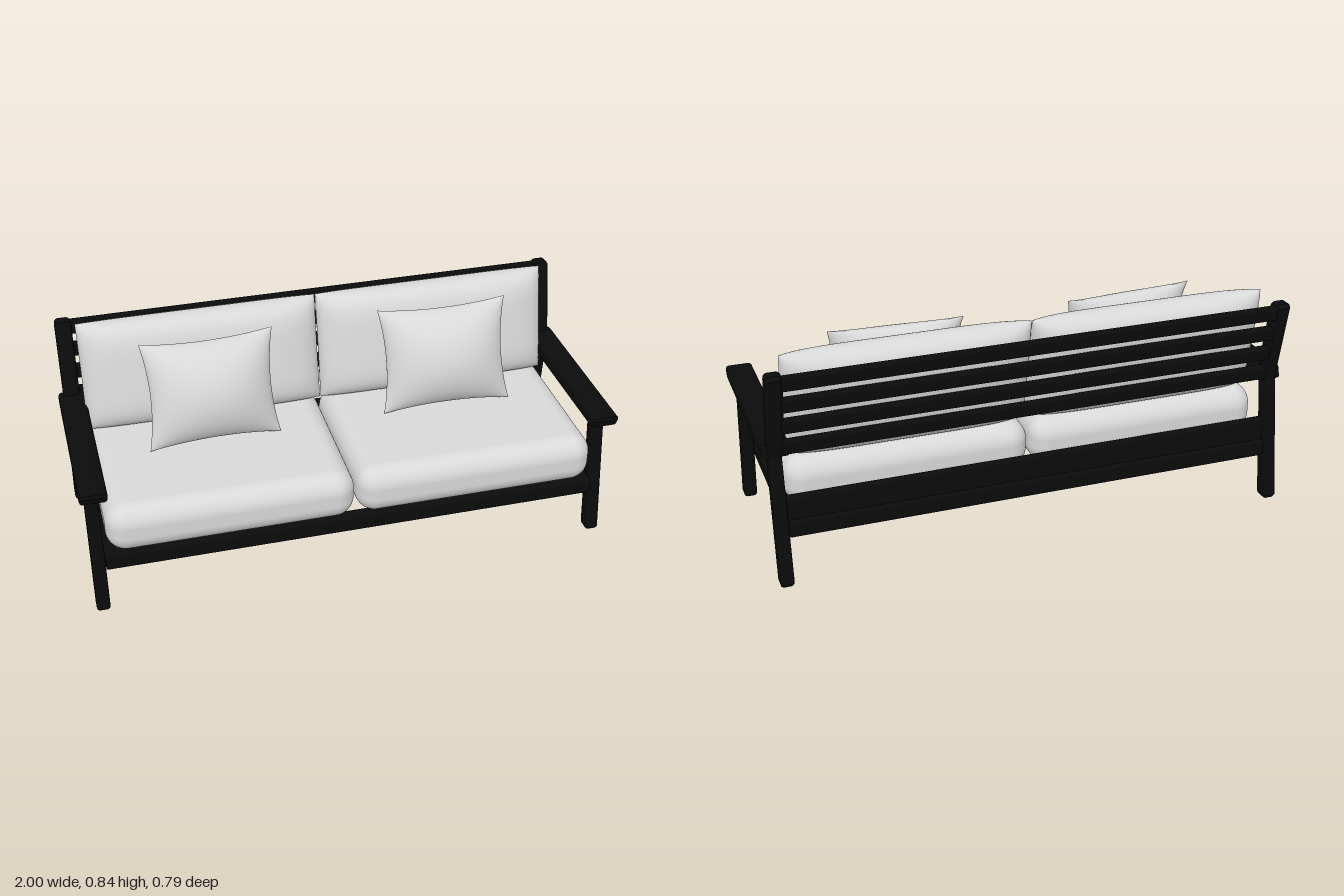
import * as THREE from 'three';
import { RoundedBoxGeometry } from 'three/addons/geometries/RoundedBoxGeometry.js';
import { mergeGeometries, toCreasedNormals } from 'three/addons/utils/BufferGeometryUtils.js';

export function createModel() {
  const sofa = new THREE.Group();
  sofa.name = 'sofa';
  const wood = new THREE.MeshStandardMaterial({ name: 'blackWood', color: 0x0b0b0b });
  const fabric = new THREE.MeshStandardMaterial({ name: 'lightGreyFabric', color: 0xd8d8d8 });

  function add(name, geometry, material, x = 0, y = 0, z = 0) {
    const mesh = new THREE.Mesh(geometry, material);
    mesh.name = name;
    mesh.position.set(x, y, z);
    sofa.add(mesh);
    return mesh;
  }

  // Timber with a side outline of [z, y] points and a softened edge
  function timber(name, outline, width, x, bevel = 0.012) {
    const shape = new THREE.Shape(outline.map(([z, y]) => new THREE.Vector2(z, y)));
    const geo = new THREE.ExtrudeGeometry(shape, {
      depth: width - 2 * bevel, bevelThickness: bevel, bevelSize: bevel,
      bevelOffset: -bevel, bevelSegments: 3,
    });
    geo.translate(0, 0, -width / 2 + bevel);
    geo.rotateY(-Math.PI / 2);
    add(name, toCreasedNormals(geo, 0.6), wood, x);
  }

  function board(name, w, h, d, x, y, z) {
    return add(name, new RoundedBoxGeometry(w, h, d, 2, 0.006), wood, x, y, z);
  }

  // Two-faced stuffed cushion: power sets how boxy it is, pinch pulls the sides in between corners
  function stuffed(w, h, t, power, fall, pinch) {
    const front = new THREE.PlaneGeometry(2, 2, 32, 32);
    const p = front.attributes.position;
    for (let i = 0; i < p.count; i++) {
      const u = Math.sin(p.getX(i) * Math.PI / 2);
      const v = Math.sin(p.getY(i) * Math.PI / 2);
      const puff = Math.max(0, (1 - Math.abs(u) ** power) * (1 - Math.abs(v) ** power)) ** fall;
      p.setXYZ(i,
        u * w / 2 * (1 - pinch * (1 - v * v)),
        v * h / 2 * (1 - pinch * (1 - u * u)),
        puff * t / 2);
    }
    front.computeVertexNormals();
    return mergeGeometries([front, front.clone().rotateY(Math.PI)]);
  }

  // Side frames: legs, raked back post and armrest
  for (const s of [-1, 1]) {
    const side = s > 0 ? 'left' : 'right';
    timber(side + 'FrontLeg', [
      [0.31, 0.01], [0.318, 0.002], [0.362, 0.002], [0.372, 0.012], [0.312, 0.5], [0.262, 0.5],
    ], 0.05, s * 0.955);
    timber(side + 'BackLeg', [
      [-0.265, 0.5], [-0.318, 0.5], [-0.393, 0.02], [-0.38, 0.005], [-0.335, 0.005], [-0.325, 0.015],
    ].reverse(), 0.05, s * 0.955);
    timber(side + 'BackPost', [
      [-0.262, 0.49], [-0.318, 0.49], [-0.385, 0.805], [-0.375, 0.82], [-0.335, 0.82], [-0.325, 0.808],
    ].reverse(), 0.062, s * 0.95, 0.016);
    timber(side + 'Armrest', [
      [-0.315, 0.49], [0.36, 0.492], [0.38, 0.5], [0.394, 0.53], [0.388, 0.54], [-0.3, 0.538],
    ], 0.1, s * 0.95);
    board(side + 'SeatRail', 0.05, 0.06, 0.72, s * 0.905, 0.215, 0.005);
  }

  // Seat frame with slats running front to back
  board('frontSeatRail', 1.86, 0.06, 0.05, 0, 0.215, 0.34);
  board('backSeatRail', 1.86, 0.06, 0.05, 0, 0.215, -0.33);
  board('upperBackRail', 1.88, 0.09, 0.035, 0, 0.285, -0.315);
  for (let i = 0; i < 6; i++) {
    board('seatSlat', 0.06, 0.025, 0.64, (i - 2.5) * 0.252, 0.228, 0.005);
  }

  // Horizontal back slats following the rake of the posts
  for (let i = 0; i < 4; i++) {
    const y = 0.785 - i * 0.087;
    const slat = board('backSlat', 1.86, 0.054, 0.03, 0, y, -0.305 - (y - 0.49) * 0.2);
    slat.rotation.x = -0.2;
  }

  // Seat cushions, slightly crowned on top
  for (const s of [-1, 1]) {
    const geo = new RoundedBoxGeometry(0.915, 0.19, 0.675, 8, 0.075);
    geo.translate(s * 0.461, 0.342, 0.054);
    const seat = add('seatCushion', geo, fabric);
    const p = geo.attributes.position;
    for (let i = 0; i < p.count; i++) {
      const z = p.getZ(i);
      if (p.getY(i) > 0.34 && z < -0.2) p.setY(i, p.getY(i) - (-0.2 - z) * 0.1);
    }
    seat.position.y = 0.005;

    // Back cushions leaning on the slats
    const back = add('backCushion', stuffed(0.91, 0.42, 0.172, 5, 0.5, 0.004), fabric,
      s * 0.456, 0.64, -0.226);
    back.rotation.x = -0.2;
  }

  // Throw pillows
  const pillow = stuffed(0.5, 0.405, 0.215, 2, 0.62, 0.09);
  for (const [x, z, turn] of [[-0.455, -0.025, 0.05], [0.453, -0.04, -0.03]]) {
    const mesh = add('throwPillow', pillow, fabric, x, 0.64, z);
    mesh.rotation.set(-0.31, turn, 0);
  }
  return sofa;
}
